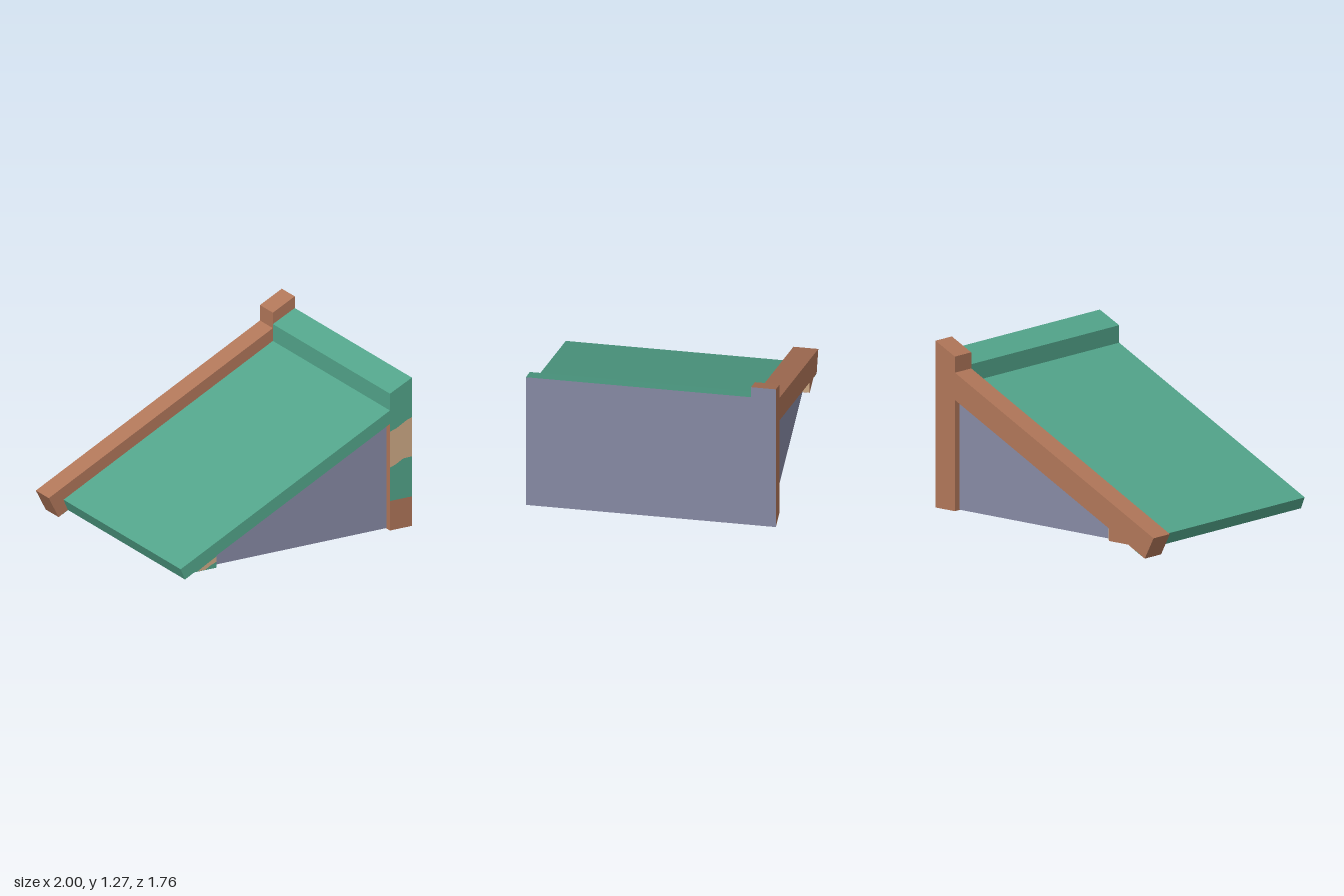
import * as THREE from 'three';

const material = (name, color) => {
  const m = new THREE.MeshStandardMaterial({ color });
  m.name = name;
  return m;
};

const toShape = (points) => new THREE.Shape(points.map(([x, y]) => new THREE.Vector2(x, y)));

export function createModel() {
  const model = new THREE.Group();
  model.name = 'leanToRoof';

  const brown = material('brown trim', 0xb07659);
  const green = material('green roof', 0x52a48a);
  const tan = material('tan patch', 0xceaa86);
  const slate = material('slate wall', 0x878aa5);

  const add = (name, geometry, mat) => {
    const mesh = new THREE.Mesh(geometry, mat);
    mesh.name = name;
    model.add(mesh);
    return mesh;
  };
  // Side profile in x/y, carried from z0 to z1; mat may be [caps, sides]
  const slab = (name, points, z0, z1, mat) => {
    const g = new THREE.ExtrudeGeometry(toShape(points), { depth: z1 - z0, bevelEnabled: false });
    g.translate(0, 0, z0);
    return add(name, g, mat);
  };

  const half = 0.88, seam = -0.705, wallZ = 0.83;
  const R = 0.998; // solids stop just short of the end wall face at x = 1

  // Wedge-shaped wall body, recessed behind the trim
  slab('wallBody', [[-0.77, 0.082], [R, 0.082], [R, 0.96], [0.82, 0.885]], -wallZ, wallZ, slate);

  // Sloping roof with the raised ridge along the high side
  slab('roof', [
    [-0.88, 0.125], [-0.845, 0.042], [-0.77, 0.08], [0.82, 0.875],
    [R, 0.875], [R, 1.185], [0.82, 1.1], [0.82, 0.975],
  ], seam, half, green);

  // Back frame: bargeboard, post, foot and raised ridge end in one piece
  slab('backFrame', [
    [-1, 0.16], [-0.92, 0.003], [-0.77, 0.08], [-0.59, 0.08], [-0.59, 0.17],
    [0.82, 0.875], [0.82, 0.08], [R, 0.08], [R, 1.272], [0.82, 1.185], [0.82, 1.07],
  ], -half, seam, brown);

  // Front post and foot, with brown returns
  slab('frontPost', [[0.82, 0.3], [R, 0.3], [R, 0.875], [0.82, 0.875]], 0.705, half, [green, brown]);
  slab('frontPostBase', [[0.82, 0.08], [R, 0.08], [R, 0.3], [0.82, 0.3]], 0.705, half, brown);
  slab('frontFoot', [[-0.77, 0.08], [-0.59, 0.08], [-0.59, 0.17]], 0.705, half, [green, brown]);

  // Painted patches on the front faces
  const patch = (name, points) =>
    add(name, new THREE.ShapeGeometry(toShape(points)), tan).position.set(0, 0, half + 0.002);
  patch('postPatch', [
    [0.82, 0.55], [0.87, 0.567], [0.925, 0.597], [R, 0.6], [R, 0.892], [0.955, 0.878], [0.87, 0.833], [0.82, 0.818],
  ]);
  patch('footPatch', [
    [-0.745, 0.083], [-0.68, 0.083], [-0.64, 0.107], [-0.59, 0.125], [-0.59, 0.165], [-0.65, 0.134],
  ]);

  // Painted bands under the back eave and on the inner foot
  const band = (name, x0, x1, mat) => {
    const y = (x) => 0.465 + 0.5 * x;
    slab(name, [[x0, y(x0)], [x0, y(x0) - 0.003], [x1, y(x1) - 0.003], [x1, y(x1)]], -half, seam, mat);
  };
  band('eaveBandGreen', -0.89, -0.83, green);
  band('eaveBandTan', -0.83, -0.79, tan);
  slab('footReturn', [[-0.592, 0.085], [-0.587, 0.085], [-0.587, 0.168], [-0.592, 0.168]], -half + 0.001, -wallZ, tan);

  // Flat end wall covering the whole high side (drawn in -z / y)
  const end = new THREE.ShapeGeometry(toShape([
    [-half, 0.08], [half, 0.08], [half, 1.273], [-seam, 1.273], [-seam, 1.186], [-half, 1.186],
  ]));
  end.rotateY(Math.PI / 2);
  add('endWall', end, slate).position.x = 1;

  return model;
}
